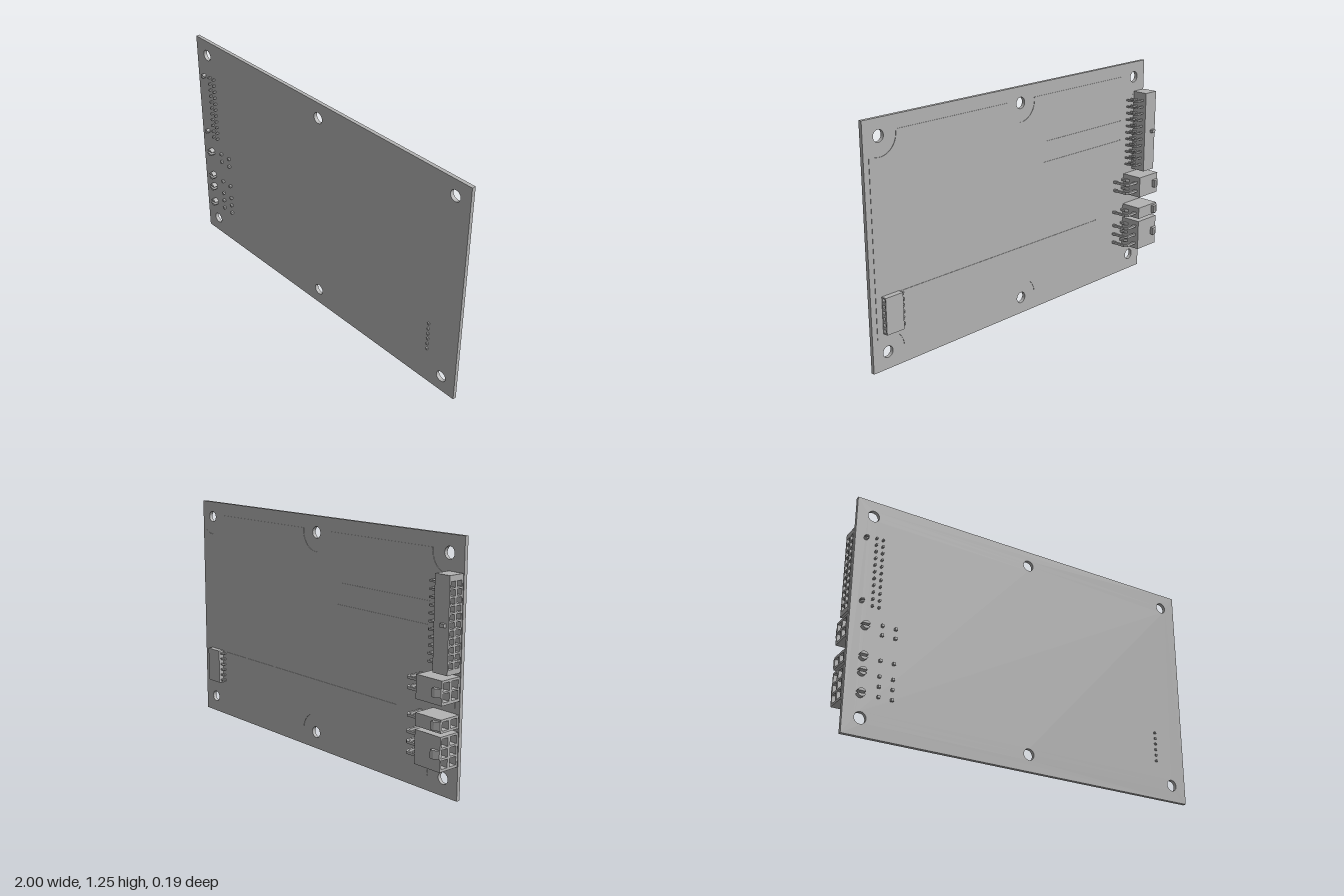
import * as THREE from 'three';

const grey = new THREE.MeshStandardMaterial({ color: 0xb3b3b3 });
grey.name = 'plainGrey';

const BACK = 0.05, FRONT = 0.07; // z of the two board faces
const HOLES = [];
for (const x of [-0.91, 0, 0.91]) for (const y of [0.09, 1.165]) HOLES.push([x, y]);

function mesh(name, geometry) {
  const m = new THREE.Mesh(geometry, grey);
  m.name = name;
  return m;
}

function box(name, x0, x1, y0, y1, z0, z1) {
  const g = new THREE.BoxGeometry(x1 - x0, y1 - y0, z1 - z0);
  return mesh(name, g.translate((x0 + x1) / 2, (y0 + y1) / 2, (z0 + z1) / 2));
}

function rect(T, x0, x1, y0, y1) {
  return new T([[x0, y0], [x1, y0], [x1, y1], [x0, y1]].map(p => new THREE.Vector2(...p)));
}

function extrude(shape, depth) {
  return new THREE.ExtrudeGeometry(shape, { depth, bevelEnabled: false, curveSegments: 20 });
}

// Outline in (x, z), extruded along y and centred on the given height
function slab(name, points, y, width) {
  const shape = new THREE.Shape(points.map(([x, z]) => new THREE.Vector2(x, -z)));
  return mesh(name, extrude(shape, width).rotateX(-Math.PI / 2).translate(0, y - width / 2, 0));
}

// Right-angled pin: runs from x0 to the bend at x1, then through the board to zTip
function bentPin(x0, x1, y, z, zTip, w) {
  const h = w / 2, c = w * 1.2, s = Math.sign(x1 - x0);
  return slab('bentPin', [
    [x0, z - h], [x1 + s * (h - c), z - h], [x1 + s * h, z - h + c], [x1 + s * h, zTip],
    [x1 - s * h, zTip], [x1 - s * h, z + h + c * 0.4], [x1 - s * (h + c * 0.4), z + h], [x0, z + h],
  ], y, w);
}

// Housing whose square sockets open along x; the closed wall sits at xWall
function housing(group, xOpen, xWall, y0, y1, z0, z1, cellYs, cellZs, size) {
  const h = size / 2, s = Math.sign(xWall - xOpen), wall = xWall - s * 0.03;
  const shape = rect(THREE.Shape, -z1, -z0, y0, y1);
  for (const y of cellYs) for (const z of cellZs) {
    shape.holes.push(rect(THREE.Path, -z - h, -z + h, y - h, y + h));
  }
  const g = extrude(shape, Math.abs(wall - xOpen)).rotateY(Math.PI / 2);
  group.add(mesh('socketShell', g.translate(Math.min(xOpen, wall), 0, 0)));
  group.add(box('socketWall', Math.min(wall, xWall), Math.max(wall, xWall), y0, y1, z0, z1));
}

// Peg through the board, split into two halves by a level slot
function splitPeg(x, y, r, zTip) {
  const peg = new THREE.Group();
  peg.name = 'splitPeg';
  for (const a of [0, Math.PI]) {
    const half = new THREE.Shape();
    half.absarc(0, 0, r, a + 0.3, a + Math.PI - 0.3, false);
    half.closePath();
    peg.add(mesh('pegHalf', extrude(half, zTip - 0.04).translate(x, y, 0.04)));
  }
  return peg;
}

function circuitBoard() {
  const shape = rect(THREE.Shape, -1, 1, 0, 1.25);
  for (const [x, y] of HOLES) {
    const hole = new THREE.Path();
    hole.absarc(x, y, 0.03, 0, Math.PI * 2, true);
    shape.holes.push(hole);
  }
  return mesh('circuitBoard', extrude(shape, FRONT - BACK).translate(0, 0, BACK));
}

// Thin raised layer on the back, cut away around each mounting hole
function copperLayer() {
  const s = new THREE.Shape(), r = 0.1, X = 0.97, Y0 = 0.075, Y1 = 1.18;
  const bite = (cx, cy, ax, ay, bx, by) =>
    s.absarc(cx, cy, r, Math.atan2(ay - cy, ax - cx), Math.atan2(by - cy, bx - cx), true);
  const dx = Math.sqrt(r * r - 0.015 ** 2), dy = 0.08;
  s.moveTo(-0.91 + dx, Y0);
  bite(0, 0.09, -dx, Y0, dx, Y0);
  bite(0.91, 0.09, 0.91 - dx, Y0, X, 0.09 + dy);
  bite(0.91, 1.165, X, 1.165 - dy, 0.91 - dx, Y1);
  bite(0, 1.165, dx, Y1, -dx, Y1);
  bite(-0.91, 1.165, -0.91 + dx, Y1, -X, 1.165 - dy);
  bite(-0.91, 0.09, -X, 0.09 + dy, -0.91 + dx, Y0);
  for (const [x0, x1, y] of [[-0.6, 0.87, 0.384], [-0.8, -0.19, 0.93], [-0.8, -0.16, 0.817]]) {
    s.holes.push(rect(THREE.Path, x0, x1, y - 0.002, y + 0.002));
  }
  return mesh('copperLayer', extrude(s, 0.002).translate(0, 0, BACK - 0.002));
}

// Power socket with two columns of pins, a latch and split pegs
function powerSocket(y0, y1, pinYs, latchY, pegYs) {
  const g = new THREE.Group();
  g.name = 'powerSocket';
  housing(g, -1, -0.84, y0, y1, -0.075, 0.045, pinYs, [-0.045, 0.013], 0.042);
  for (const y of pinYs) {
    g.add(bentPin(-0.96, -0.76, y, -0.05, 0.085, 0.013));
    g.add(bentPin(-0.96, -0.83, y, 0.008, 0.085, 0.013));
  }
  g.add(slab('latch', [[-1, -0.07], [-1, -0.08], [-0.975, -0.095], [-0.955, -0.095], [-0.955, -0.07]], latchY, 0.042));
  for (const y of pegYs) g.add(splitPeg(-0.92, y, 0.021, 0.095));
  return g;
}

// Long two-row signal socket
function signalSocket() {
  const g = new THREE.Group();
  g.name = 'signalSocket';
  const ys = Array.from({ length: 11 }, (_, i) => 0.665 + i * 0.0375);
  housing(g, -1, -0.91, 0.625, 1.083, -0.043, 0.045, ys, [-0.02, 0.022], 0.029);
  for (const y of ys) {
    g.add(bentPin(-0.96, -0.855, y, -0.02, 0.088, 0.009));
    g.add(bentPin(-0.96, -0.89, y, 0.022, 0.088, 0.009));
  }
  g.add(box('keyTab', -0.985, -0.96, 0.846, 0.864, -0.06, -0.04));
  for (const y of [0.68, 1.03]) g.add(splitPeg(-0.945, y, 0.012, 0.09));
  return g;
}

// Single-row header on the other side, opening outwards
function smallHeader() {
  const g = new THREE.Group();
  g.name = 'smallHeader';
  const ys = Array.from({ length: 6 }, (_, i) => 0.21 + i * 0.032);
  housing(g, 0.935, 0.83, 0.194, 0.386, 0.018, 0.05, ys, [0.034], 0.017);
  for (const y of ys) g.add(bentPin(0.86, 0.81, y, 0.034, 0.08, 0.01));
  return g;
}

export function createModel() {
  const model = new THREE.Group();
  model.name = 'circuitBoardAssembly';
  model.add(
    circuitBoard(),
    copperLayer(),
    signalSocket(),
    powerSocket(0.49, 0.608, [0.525, 0.575], 0.55, [0.553]),
    powerSocket(0.36, 0.425, [0.392], 0.394, [0.393]),
    powerSocket(0.173, 0.343, [0.207, 0.259, 0.311], 0.258, [0.207, 0.315]),
    smallHeader(),
  );
  return model;
}
